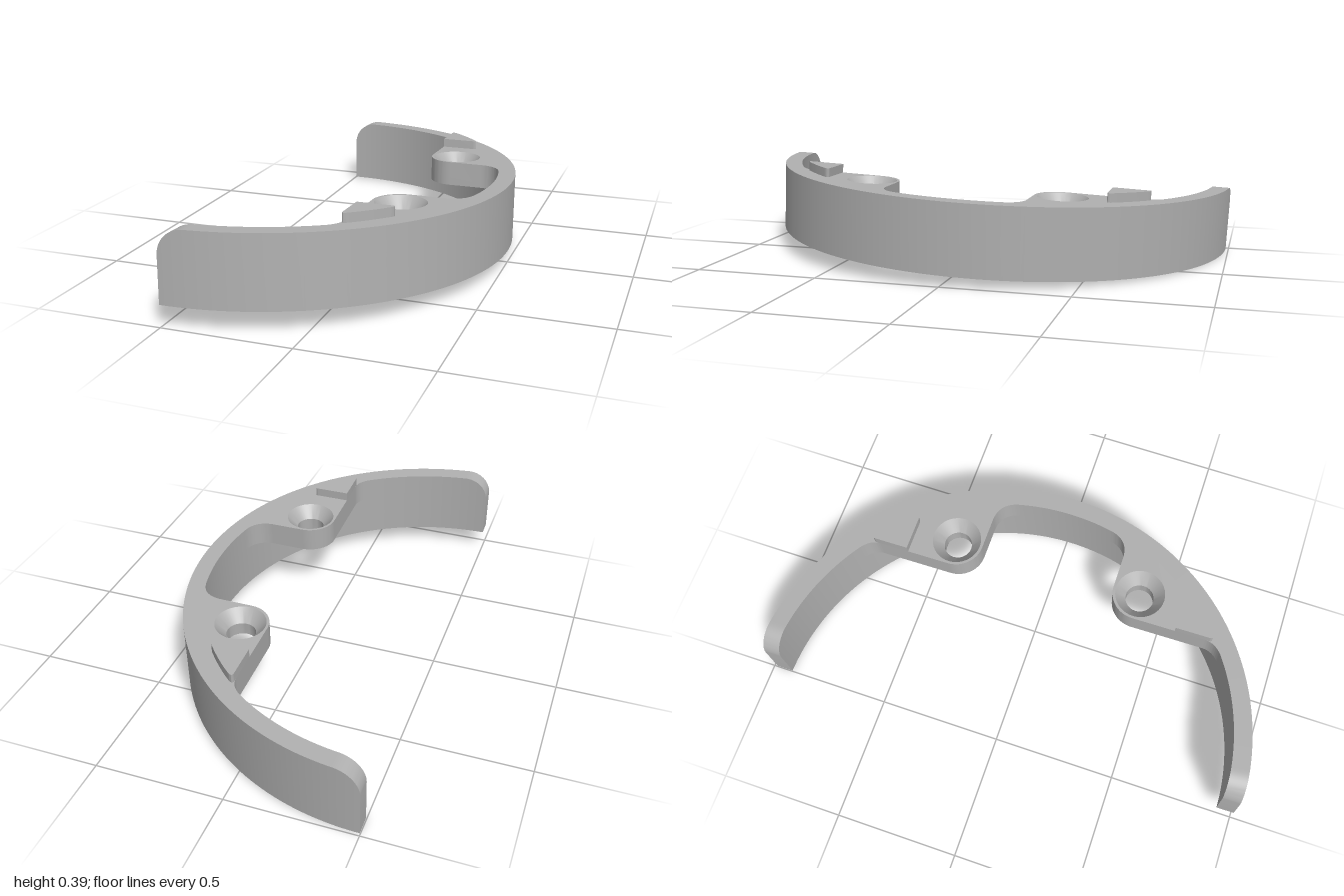
import * as THREE from 'three';
import { toCreasedNormals } from 'three/addons/utils/BufferGeometryUtils.js';

const OUTER = 0.995, INNER = 0.925, HEIGHT = 0.28, CORNER = 0.1;
const TAB = 0.1, TOP = HEIGHT / 2;
const grey = new THREE.MeshStandardMaterial({ color: 0xb0b0b0 });
grey.name = 'grey plastic';

function add(parent, name, geometry) {
  const mesh = new THREE.Mesh(geometry, grey);
  mesh.name = name;
  parent.add(mesh);
  return mesh;
}

// Half ring whose upper end corners are rounded, swept from rectangular sections
function bandGeometry() {
  const N = 140, pos = [], idx = [];
  const topAt = x => {
    const d = Math.max(0, CORNER - Math.max(0, x));
    return TOP - CORNER + Math.sqrt(Math.max(0, CORNER * CORNER - d * d));
  };
  for (let i = 0; i <= N; i++) {
    const a = (Math.PI / 2) * Math.sin((i / N - 0.5) * Math.PI);
    const c = Math.cos(a), s = Math.sin(a);
    pos.push(OUTER * c, -TOP, OUTER * s, OUTER * c, topAt(OUTER * c), OUTER * s);
    pos.push(INNER * c, topAt(INNER * c), INNER * s, INNER * c, -TOP, INNER * s);
    if (i === N) break;
    for (let k = 0; k < 4; k++) {
      const n = (k + 1) % 4, p = i * 4, q = p + 4;
      idx.push(p + k, p + n, q + n, p + k, q + n, q + k);
    }
  }
  const e = N * 4;
  idx.push(0, 2, 1, 0, 3, 2, e, e + 1, e + 2, e, e + 2, e + 3);
  const g = new THREE.BufferGeometry();
  g.setAttribute('position', new THREE.Float32BufferAttribute(pos, 3));
  g.setIndex(idx);
  return toCreasedNormals(g.toNonIndexed(), 0.5);
}

// Extrude a plan shape downwards, its upper face at height y
function slab(shape, depth, y) {
  const g = new THREE.ExtrudeGeometry(shape, { depth, bevelEnabled: false, curveSegments: 20 });
  g.rotateX(Math.PI / 2).translate(0, y, 0);
  return toCreasedNormals(g, 0.5);
}

// Screw tab, countersunk hole and locating wedge; s mirrors front to back
function mountGroup(s) {
  const mount = new THREE.Group();
  mount.name = s > 0 ? 'frontMount' : 'backMount';
  const left = 0.5625, edge = 0.282, hx = 0.6725, hz = 0.393, r = hx - left, k = r * 0.4477;

  const tab = new THREE.Shape();
  tab.moveTo(0.903, s * 0.2);
  tab.quadraticCurveTo(0.885, s * edge, 0.8, s * edge);
  tab.lineTo(hx, s * edge);
  tab.bezierCurveTo(left + k, s * edge, left, s * (edge + k), left, s * hz);
  tab.lineTo(left, s * 0.69);
  tab.quadraticCurveTo(left, s * 0.738, 0.51, s * 0.7717);
  for (let i = 0; i <= 24; i++) {
    const a = 0.9867 + (0.218 - 0.9867) * i / 24, R = INNER + 0.004;
    tab.lineTo(R * Math.cos(a), s * R * Math.sin(a));
  }
  const hole = new THREE.Path();
  hole.absarc(hx, s * hz, 0.1, 0, Math.PI * 2);
  tab.holes.push(hole);
  add(mount, 'screwTab', slab(tab, TAB, TOP));

  const profile = [[0.1, 0], [0.057, -0.05], [0.057, -TAB], [0.1, -TAB]];
  const sink = new THREE.LatheGeometry(profile.map(p => new THREE.Vector2(...p)), 40);
  add(mount, 'countersunkHole', toCreasedNormals(sink.toNonIndexed(), 0.5))
    .position.set(hx, TOP, s * hz);

  const wedge = new THREE.Shape();
  wedge.moveTo(left, s * 0.568);
  wedge.lineTo(0.7, s * 0.568);
  wedge.quadraticCurveTo(0.715, s * 0.568, 0.705, s * 0.585);
  wedge.quadraticCurveTo(0.648, s * 0.656, 0.582, s * 0.712);
  wedge.quadraticCurveTo(left, s * 0.726, left, s * 0.705);
  wedge.closePath();
  add(mount, 'locatingWedge', slab(wedge, 0.036, TOP + 0.036));
  return mount;
}

export function createModel() {
  const model = new THREE.Group();
  model.name = 'halfRingBracket';
  const body = new THREE.Group();
  body.name = 'tiltedBody';
  add(body, 'curvedBand', bandGeometry());
  for (const s of [1, -1]) body.add(mountGroup(s));
  // Slight tilt raises the front end
  body.rotation.x = -0.0436;
  body.position.set(-OUTER / 2, 0.1835, 0);
  model.add(body);
  return model;
}
